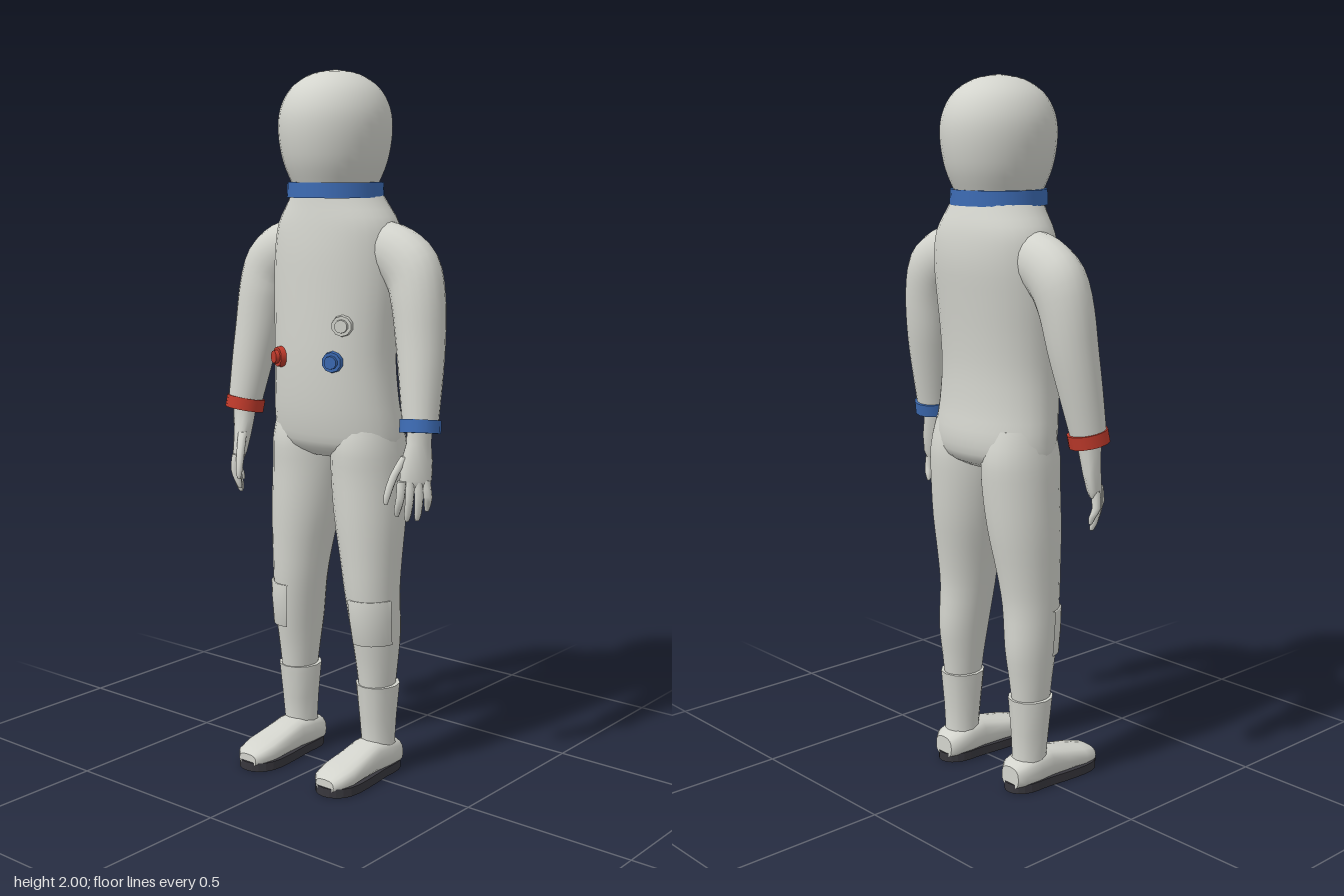
import * as THREE from 'three';

const mat = (name, color) => {
  const m = new THREE.MeshStandardMaterial({ color });
  m.name = name;
  return m;
};

// Adds in-between rows to a short list of cross-section numbers.
function smooth(rows, k = 3) {
  const out = [];
  const n = rows.length;
  for (let i = 0; i < n - 1; i++) {
    const p = [rows[Math.max(i - 1, 0)], rows[i], rows[i + 1], rows[Math.min(i + 2, n - 1)]];
    for (let s = 0; s < k; s++) {
      const t = s / k;
      out.push(p[1].map((b, j) => {
        const a = p[0][j], c = p[2][j], d = p[3][j];
        return b + 0.5 * t * (c - a + t * (2 * a - 5 * b + 4 * c - d + t * (3 * (b - c) + d - a)));
      }));
    }
  }
  out.push(rows[n - 1]);
  return out;
}

// Skins rings {c, u, v} that advance along u x v. side = -1 mirrors in x.
function loft(rings, { n = 20, side = 1, power = 1, arc = null } = {}) {
  const pos = [], idx = [];
  const tri = (a, b, c) => (side > 0 ? idx.push(a, b, c) : idx.push(a, c, b));
  const bend = (q) => Math.sign(q) * Math.abs(q) ** power;
  const cols = arc ? n + 1 : n;
  const addRing = ({ c, u, v }) => {
    const first = pos.length / 3;
    for (let j = 0; j < cols; j++) {
      const th = arc ? arc[0] + (arc[1] - arc[0]) * j / n : j / n * Math.PI * 2;
      const p = [0, 1, 2].map((k) => c[k] + u[k] * bend(Math.cos(th)) + v[k] * bend(Math.sin(th)));
      pos.push(p[0] * side, p[1], p[2]);
    }
    return first;
  };
  const starts = rings.map(addRing);
  for (let i = 0; i < rings.length - 1; i++) {
    for (let j = 0; j < n; j++) {
      const k = arc ? j + 1 : (j + 1) % n;
      const a = starts[i] + j, b = starts[i] + k, c = starts[i + 1] + j, d = starts[i + 1] + k;
      tri(a, b, c);
      tri(b, d, c);
    }
  }
  if (!arc) {
    [rings[0], rings[rings.length - 1]].forEach((r, end) => {
      const f = addRing(r), m = pos.length / 3;
      pos.push(r.c[0] * side, r.c[1], r.c[2]);
      for (let j = 0; j < n; j++) {
        const a = f + j, b = f + (j + 1) % n;
        if (end) tri(m, a, b); else tri(m, b, a);
      }
    });
  }
  const g = new THREE.BufferGeometry();
  g.setAttribute('position', new THREE.Float32BufferAttribute(pos, 3));
  g.setIndex(idx);
  g.computeVertexNormals();
  return g;
}

// Level ring with half-width a and half-depth b
const level = ([x, y, z, a, b]) => ({ c: [x, y, z], u: [a, 0, 0], v: [0, 0, b] });

export function createModel() {
  const model = new THREE.Group();
  const suit = mat('suit grey', 0xd3d4cd);
  const blue = mat('trim blue', 0x3c6ab2);
  const red = mat('trim red', 0xbf3a2b);
  const dark = mat('sole dark', 0x38373d);
  const add = (name, geo, material, parent = model) => {
    const m = new THREE.Mesh(geo, material);
    m.name = name;
    parent.add(m);
    return m;
  };

  // Torso: y, half-width, front z, back z
  const torso = [
    [1.69, 0.115, 0.08, -0.15], [1.64, 0.148, 0.085, -0.168], [1.58, 0.188, 0.093, -0.185],
    [1.5, 0.2, 0.1, -0.19], [1.4, 0.2, 0.103, -0.18], [1.3, 0.195, 0.105, -0.17],
    [1.2, 0.193, 0.105, -0.165], [1.1, 0.2, 0.1, -0.17], [1.02, 0.207, 0.09, -0.18],
    [0.96, 0.198, 0.072, -0.168], [0.93, 0.12, 0.03, -0.12],
  ];
  add('torso', loft(smooth(torso).map(([y, a, f, b]) =>
    level([0, y, (f + b) / 2, a, (f - b) / 2])), { n: 32 }), suit);

  // Helmet and neck ring
  const dome = new THREE.SplineCurve([[0.112, 1.68], [0.14, 1.75], [0.153, 1.83], [0.147, 1.895],
    [0.118, 1.95], [0.065, 1.987], [0, 2]].map((p) => new THREE.Vector2(...p)));
  const points = dome.getPoints(24).map((p) => new THREE.Vector2(Math.max(p.x, 0), p.y));
  const helmet = add('helmet', new THREE.LatheGeometry(points, 32), suit);
  helmet.scale.z = 1.09;
  helmet.position.z = -0.032;
  const collar = add('neckRing', new THREE.CylinderGeometry(0.136, 0.138, 0.042, 28), blue);
  collar.scale.z = 0.97;
  collar.position.set(0, 1.674, -0.032);

  // Chest valves, set square to the torso surface
  [['redValve', -0.1, 1.21, red], ['blueValve', 0.09, 1.21, blue], ['greyValve', 0.115, 1.31, suit]]
    .forEach(([name, x, y, m]) => {
      const valve = new THREE.Group();
      valve.name = name;
      const a = 0.194, b = 0.135;
      const z = b * Math.sqrt(1 - (x / a) ** 2);
      valve.position.set(x, y, z - 0.03);
      valve.rotation.y = Math.atan2(x / a ** 2, z / b ** 2);
      model.add(valve);
      [['base', 0.031, 0.02, 0.004], ['knob', 0.02, 0.022, 0.014]].forEach(([part, r, h, d]) => {
        const c = add(part, new THREE.CylinderGeometry(r * 0.9, r, h, 10), m, valve);
        c.rotation.x = Math.PI / 2;
        c.position.z = d;
      });
    });

  for (const side of [1, -1]) {
    const label = side > 0 ? 'left' : 'right';

    // Arm: x, y, z, half-width, half-depth, ring tilt in degrees
    const arm = [
      [0.13, 1.52, -0.05, 0.08, 0.07, 72], [0.2, 1.5, -0.052, 0.082, 0.07, 62],
      [0.255, 1.455, -0.052, 0.085, 0.072, 40], [0.28, 1.38, -0.045, 0.077, 0.072, 13],
      [0.295, 1.28, -0.036, 0.07, 0.068, 8], [0.308, 1.18, -0.022, 0.062, 0.061, 6],
      [0.322, 1.05, -0.002, 0.05, 0.05, 6],
    ];
    add(label + 'Arm', loft(smooth(arm).map(([x, y, z, a, b, deg]) => {
      const t = deg * Math.PI / 180;
      return { c: [x, y, z], u: [a * Math.cos(t), a * Math.sin(t), 0], v: [0, 0, b] };
    }), { side }), suit);

    // Wrist ring
    const cuff = add(label + 'WristRing', new THREE.CylinderGeometry(0.057, 0.057, 0.036, 14),
      side > 0 ? blue : red);
    cuff.position.set(0.322 * side, 1.044, -0.002);
    cuff.rotation.set(-0.17, 0, 0.09 * side);

    // Glove: palm turned half forward, four fingers and a thumb
    const glove = new THREE.Group();
    glove.name = label + 'Glove';
    model.add(glove);
    const palm = [[0.322, 1.04, 0, 0.036, 0.034], [0.322, 1, 0.004, 0.035, 0.031],
      [0.322, 0.95, 0.012, 0.045, 0.026], [0.325, 0.9, 0.02, 0.046, 0.021], [0.325, 0.882, 0.022, 0.04, 0.014]];
    add('palm', loft(palm.map(([x, y, z, w, t]) =>
      ({ c: [x, y, z], u: [0.8 * t, 0, 0.6 * t], v: [-0.6 * w, 0, 0.8 * w] })), { n: 12, side }), suit, glove);
    const radii = [0.013, 0.012, 0.01, 0.005];
    const digit = (name, path) => {
      const rows = path.map((p, i) => [...p, radii[i], radii[i]]);
      add(name, loft(smooth(rows, 2).map(level), { n: 8, side }), suit, glove);
    };
    [[0.034, 0.8], [0.011, 0.785], [-0.012, 0.785], [-0.034, 0.81]].forEach(([w, tip], i) => {
      const at = (s, y, curl) => [0.325 - 0.6 * w * s - 0.8 * curl, y, 0.03 + 0.8 * w * s - 0.5 * curl];
      digit('finger' + (i + 1),
        [at(1, 0.9, 0), at(1.15, 0.855, -0.005), at(1.25, tip + 0.02, 0.006), at(1.25, tip, 0.012)]);
    });
    digit('thumb', [[0.3, 0.965, 0.035], [0.283, 0.915, 0.062], [0.273, 0.86, 0.08], [0.271, 0.835, 0.083]]);

    // Leg: x, y, z, half-width, half-depth
    const leg = [
      [0.105, 1.05, -0.05, 0.09, 0.1], [0.108, 0.97, -0.05, 0.101, 0.118], [0.11, 0.88, -0.05, 0.105, 0.115],
      [0.118, 0.76, -0.045, 0.1, 0.108], [0.128, 0.64, -0.038, 0.086, 0.095], [0.135, 0.54, -0.035, 0.076, 0.086],
      [0.143, 0.42, -0.043, 0.066, 0.08], [0.146, 0.32, -0.045, 0.056, 0.066], [0.147, 0.22, -0.045, 0.045, 0.055],
    ];
    add(label + 'Leg', loft(smooth(leg).map(level), { n: 24, side }), suit);

    // Knee patch wrapped round the outer front of the leg
    const patch = [[0.136, 0.53, -0.036, 0.074, 0.084], [0.136, 0.53, -0.036, 0.082, 0.092],
      [0.14, 0.47, -0.039, 0.078, 0.091], [0.144, 0.4, -0.043, 0.072, 0.086], [0.144, 0.4, -0.043, 0.062, 0.076]];
    add(label + 'KneePatch', loft(patch.map(level), { n: 10, side, arc: [0.2, 1.85] }), suit);

    // Boot shaft
    const shaft = [[0.147, 0.27, -0.047, 0.063, 0.067], [0.147, 0.25, -0.047, 0.061, 0.065],
      [0.147, 0.17, -0.048, 0.053, 0.058], [0.147, 0.1, -0.05, 0.048, 0.053], [0.147, 0.05, -0.05, 0.052, 0.06]];
    add(label + 'BootShaft', loft(shaft.map(level), { n: 12, side }), suit);

    // Foot: z, half-width, top y
    const foot = [[-0.125, 0.035, 0.075], [-0.105, 0.052, 0.09], [-0.05, 0.058, 0.106], [0, 0.054, 0.106],
      [0.06, 0.056, 0.09], [0.13, 0.06, 0.074], [0.175, 0.05, 0.062], [0.193, 0.032, 0.048]];
    add(label + 'Foot', loft(foot.map(([z, w, top]) => ({
      c: [0.146, (top + 0.012) / 2, z], u: [w, 0, 0], v: [0, (top - 0.012) / 2, 0],
    })), { n: 16, side, power: 0.75 }), suit);

    // Sole
    const outline = new THREE.Shape();
    outline.moveTo(-0.052, 0.06);
    outline.bezierCurveTo(-0.052, 0.155, 0.052, 0.155, 0.052, 0.06);
    outline.bezierCurveTo(0.05, 0.01, 0.064, -0.04, 0.065, -0.12);
    outline.bezierCurveTo(0.065, -0.226, -0.065, -0.226, -0.065, -0.12);
    outline.bezierCurveTo(-0.064, -0.04, -0.05, 0.01, -0.052, 0.06);
    const sole = add(label + 'Sole', new THREE.ExtrudeGeometry(outline,
      { depth: 0.026, bevelEnabled: false, curveSegments: 10 }), dark);
    sole.rotation.x = -Math.PI / 2;
    sole.position.x = 0.146 * side;
  }
  return model;
}
